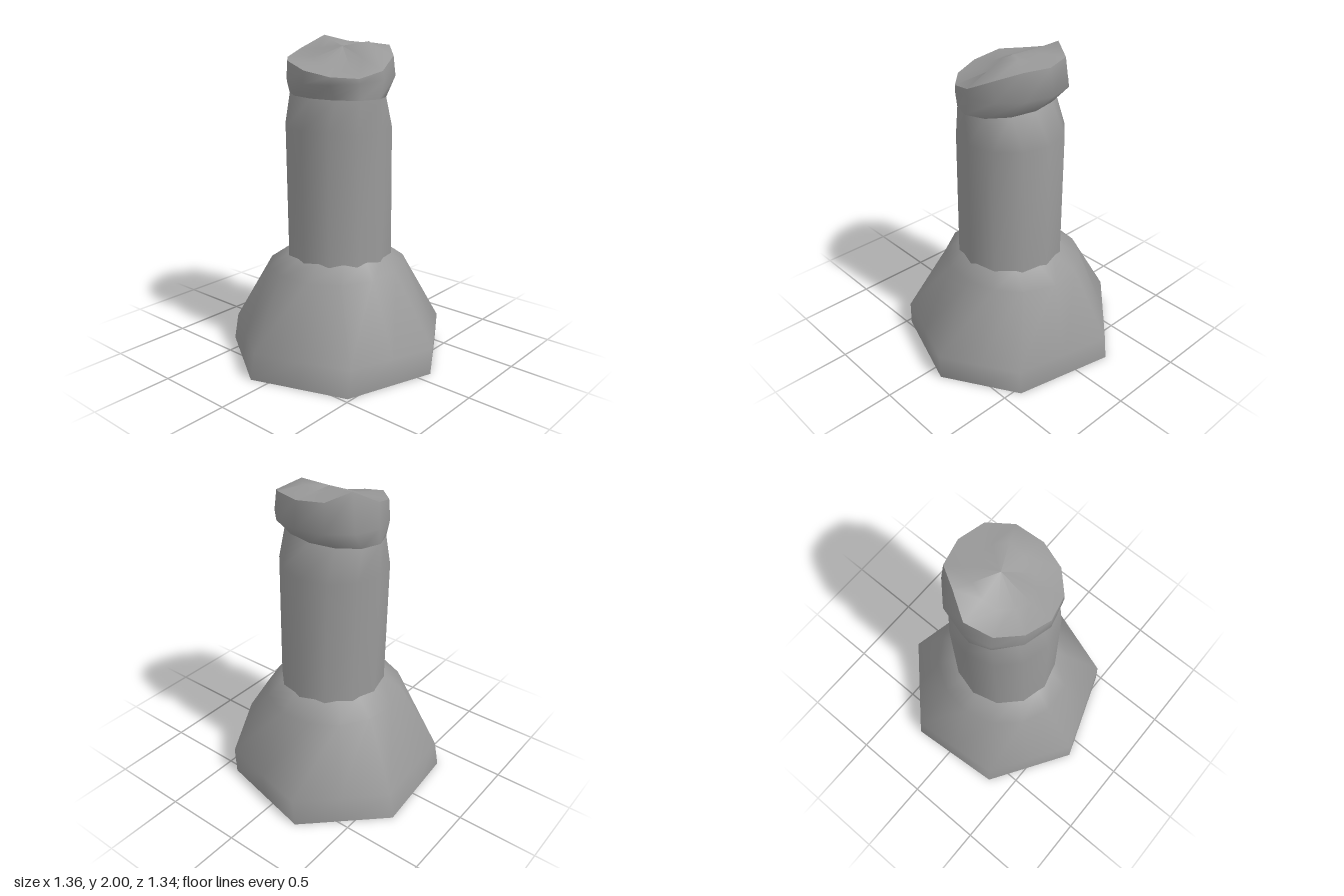
import * as THREE from 'three';

const material = new THREE.MeshStandardMaterial({ color: 0x999999, side: THREE.DoubleSide });

// Skins a stack of closed rings, each an array of [x, y, z] of equal length
function loft(name, rings) {
  const n = rings[0].length;
  const index = [];
  for (let j = 0; j < rings.length - 1; j++) {
    for (let i = 0; i < n; i++) {
      const a = j * n + i, b = j * n + (i + 1) % n;
      index.push(a, a + n, b, b, a + n, b + n);
    }
  }
  const geometry = new THREE.BufferGeometry();
  geometry.setAttribute('position', new THREE.Float32BufferAttribute(rings.flat(2), 3));
  geometry.setIndex(index);
  geometry.computeVertexNormals();
  const mesh = new THREE.Mesh(geometry, material);
  mesh.name = name;
  return mesh;
}

const SIDES = 12;
const ellipse = (cx, cz, rx, rz, y) => Array.from({ length: SIDES }, (_, i) => {
  const a = (i / SIDES) * Math.PI * 2;
  return [cx + rx * Math.cos(a), y, cz + rz * Math.sin(a)];
});

export function createModel() {
  const group = new THREE.Group();

  // Base: hollow flared skirt, an irregular heptagon rounding into a circle
  const corners = [[0.54, 0.4], [0.09, 0.67], [-0.47, 0.48], [-0.68, -0.11],
    [-0.35, -0.62], [0.26, -0.67], [0.68, -0.23]];
  const outline = corners.flatMap(([x, z], i) => {
    const [nx, nz] = corners[(i + 1) % corners.length];
    return [[x, z], [(x + nx) / 2, (z + nz) / 2]];
  });
  const skirt = (y, scale, dx, dz) => outline.map(([x, z]) => [x * scale + dx, y, z * scale + dz]);
  const round = (y, cx, cz, rx, rz) => outline.map(([x, z]) => {
    const a = Math.atan2(z, x);
    return [cx + rx * Math.cos(a), y, cz + rz * Math.sin(a)];
  });
  group.add(loft('base', [
    skirt(0, 1, 0, 0),
    skirt(0.17, 0.985, 0.008, 0.015),
    round(0.6, 0.015, -0.02, 0.45, 0.425),
    round(0.685, 0.01, 0, 0.32, 0.32),
  ]));

  // Column: straight shaft narrowing sideways at the neck
  const neck = ellipse(-0.01, 0, 0.235, 0.325, 1.665);
  group.add(loft('column', [
    ellipse(0.012, 0, 0.332, 0.33, 0.67),
    ellipse(0.01, -0.01, 0.322, 0.335, 1.48),
    neck,
  ]));

  // Cap: flares from the neck to an uneven, tilted rim
  const rimHeights = [1.95, 1.95, 1.9, 1.825, 1.79, 1.8, 1.83, 1.87, 1.88, 1.92, 2, 1.96];
  const innerHeights = [1.95, 1.97, 1.98, 1.89, 1.84, 1.84, 1.86, 1.88, 1.89, 1.93, 1.975, 1.97];
  const rim = ellipse(0.015, 0, 0.315, 0.325, 0).map(([x, , z], i) => {
    const pull = i === 10 ? 0.87 : 1;
    return [x * pull, rimHeights[i], z * pull];
  });
  const shoulder = ellipse(0.025, -0.005, 0.33, 0.335, 0).map(([x, , z]) => [x, 1.77 + 0.06 * x, z]);
  group.add(loft('cap', [neck, shoulder, rim]));

  // Cap top: sloping broken surface with a ridge running to the back peak
  const inner = ellipse(0.02, 0, 0.17, 0.17, 0).map(([x, , z], i) => [x, innerHeights[i], z]);
  group.add(loft('capTop', [rim, inner, ellipse(0.04, 0, 0, 0, 1.95)]));

  return group;
}
